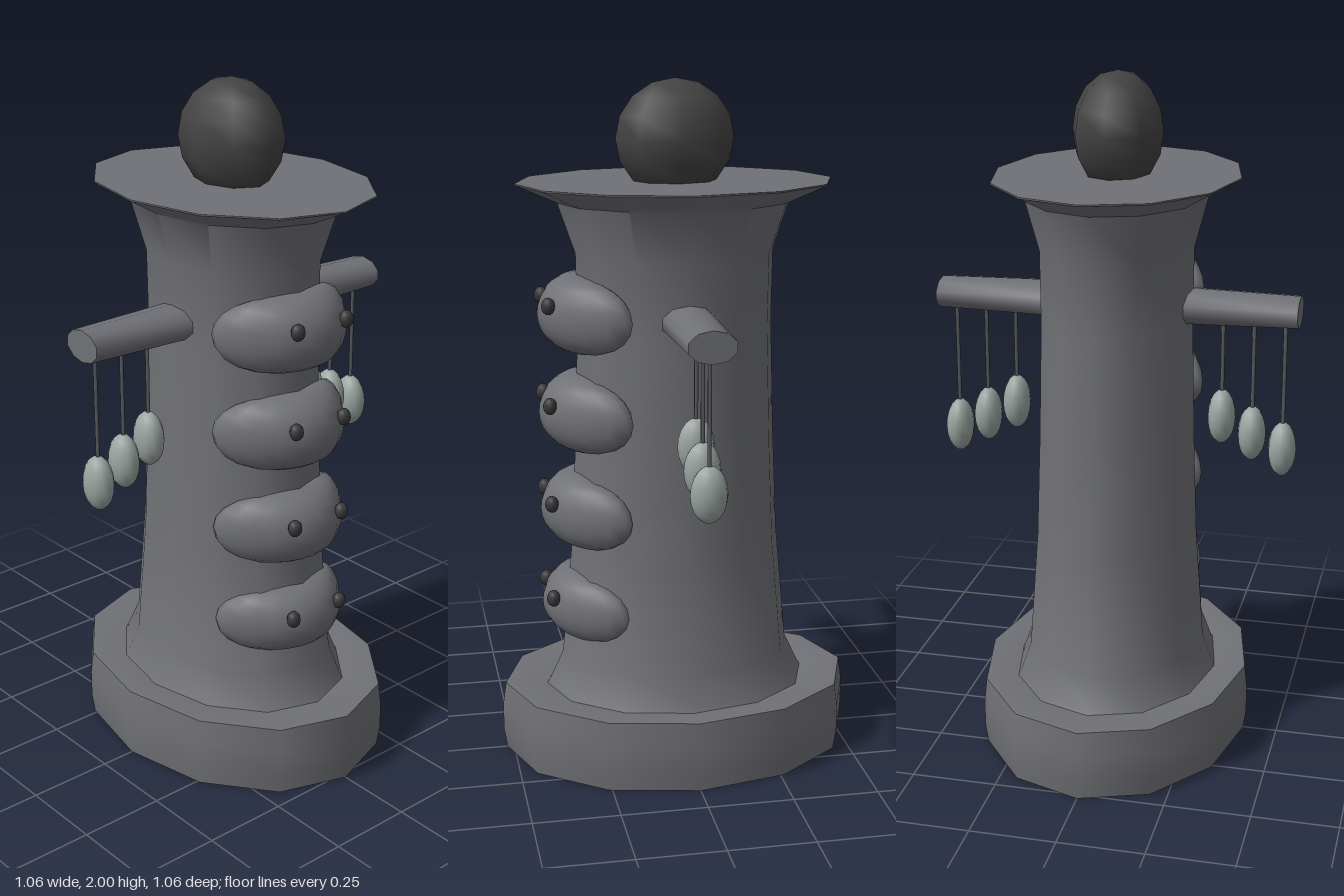
import * as THREE from 'three';
import { toCreasedNormals } from 'three/addons/utils/BufferGeometryUtils.js';

const material = (name, color, side = THREE.FrontSide) => {
  const m = new THREE.MeshStandardMaterial({ color, side });
  m.name = name;
  return m;
};

export function createModel() {
  const stone = material('grey stone', 0x707176);
  const dark = material('dark stone', 0x434343);
  const pale = material('pale stone', 0x9ba5a2);
  const cord = material('cord grey', 0x5c5d61);
  const eyeDark = material('eye dark', 0x39393b);
  const model = new THREE.Group();
  model.name = 'totemTower';

  const add = (name, geometry, mat, x = 0, y = 0, z = 0, parent = model) => {
    const mesh = new THREE.Mesh(geometry, mat);
    mesh.name = name;
    mesh.position.set(x, y, z);
    parent.add(mesh);
    return mesh;
  };

  // Twelve-sided oval turned form; profile runs bottom to top
  const ovalLathe = (profile, depth, crease) => {
    const points = profile.map(([r, y]) => new THREE.Vector2(r, y));
    const g = new THREE.LatheGeometry(points, 12).scale(1, 1, depth);
    return toCreasedNormals(g, crease);
  };

  // Base plinth
  add('base', ovalLathe([[0, 0], [0.52, 0], [0.53, 0.06], [0.53, 0.14], [0.52, 0.21],
    [0.47, 0.21], [0.36, 0.195]], 0.765, 0.9), stone);

  // Waisted column with a flared rim and flat top
  add('column', ovalLathe([[0.4, 0.19], [0.385, 0.215], [0.345, 0.3], [0.312, 0.65], [0.298, 0.95],
    [0.287, 1.3], [0.29, 1.51], [0.34, 1.655], [0.46, 1.708], [0.46, 1.712], [0, 1.712]],
  0.77, 0.8), stone);

  // Dark finial
  add('finial', new THREE.SphereGeometry(1, 8, 8).scale(0.172, 0.168, 0.132), dark, 0, 1.832, 0);

  // Bean-shaped heads stacked on the left side, ends bent round the column
  const beanGeometry = (ry, rx) => {
    const g = new THREE.SphereGeometry(1, 20, 14);
    const p = g.attributes.position;
    for (let i = 0; i < p.count; i++) {
      const x = p.getX(i), y = p.getY(i), z = p.getZ(i);
      p.setXYZ(i, rx * x - 0.11 * z * z, ry * y * (1 + 0.4 * z * z), 0.22 * z);
    }
    g.computeVertexNormals();
    return g;
  };
  const heads = [[1.34, 0.11, 0.11], [1.05, 0.11, 0.11], [0.757, 0.107, 0.107], [0.467, 0.1, 0.1]];
  heads.forEach(([y, ry, rx]) => {
    const head = new THREE.Group();
    head.name = 'head';
    head.position.set(0.403 - rx, y, 0);
    model.add(head);
    add('headBody', beanGeometry(ry, rx), stone, 0, 0, 0, head);
    for (const side of [-1, 1]) {
      add('eye', new THREE.SphereGeometry(1, 10, 8).scale(0.02, 0.025, 0.021), eyeDark,
        rx - 0.022, 0.037, side * 0.09, head);
    }
  });

  // Front and back arms, each with three hanging beads
  for (const side of [-1, 1]) {
    const arm = new THREE.CylinderGeometry(0.07, 0.08, 0.35, 10)
      .rotateX(side * Math.PI / 2)
      .scale(1, 0.66, 1);
    add('arm', toCreasedNormals(arm, 0.9), stone, 0, 1.337, side * 0.356);

    [[0.31, 1.01], [0.4, 0.965], [0.49, 0.923]].forEach(([z, y]) => {
      const length = 1.31 - (y + 0.07);
      add('string', new THREE.CylinderGeometry(0.006, 0.006, length, 6), cord,
        0, 1.31 - length / 2, side * z);
      add('bead', new THREE.SphereGeometry(1, 12, 10).scale(0.053, 0.081, 0.041), pale, 0, y, side * z);
    });
  }
  return model;
}
